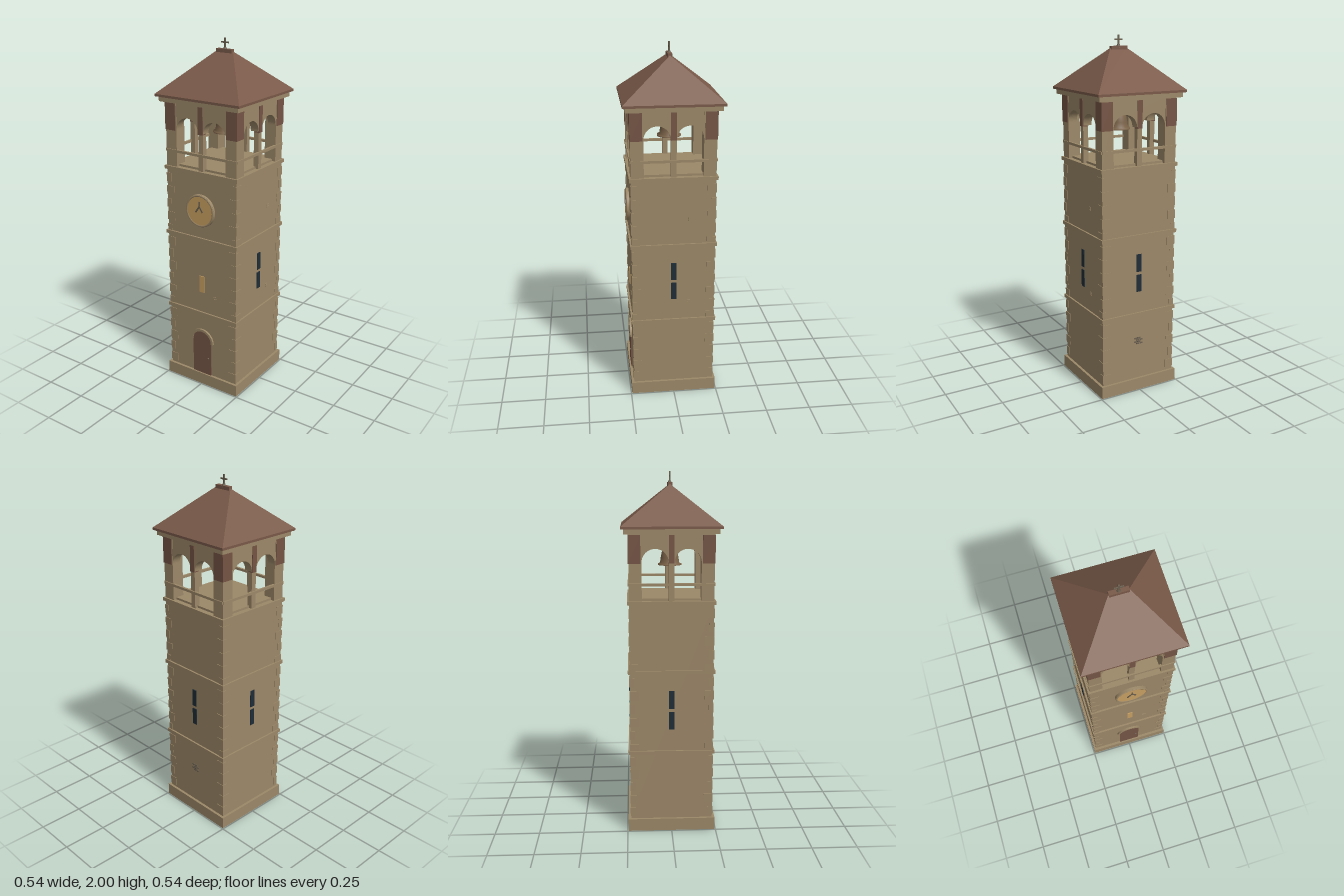
import * as THREE from 'three';

const mat = (name, color, side = THREE.FrontSide) => {
  const m = new THREE.MeshStandardMaterial({ color, side });
  m.name = name;
  return m;
};

export function createModel() {
  const stone = mat('stone', 0x9c8868);
  const roofTile = mat('roof tile', 0x7a5a49, THREE.DoubleSide);
  const brown = mat('brown brick', 0x755545);
  const glass = mat('dark glass', 0x1f2d38);
  const gold = mat('warm gold', 0xc9a062);
  const bronze = mat('bronze', 0x7a6248, THREE.DoubleSide);
  const iron = mat('iron', 0x6b6050);
  const tower = new THREE.Group();
  tower.name = 'bellTower';

  const add = (parent, name, geo, material, x = 0, y = 0, z = 0) => {
    const m = new THREE.Mesh(geo, material);
    m.name = name;
    m.position.set(x, y, z);
    parent.add(m);
    return m;
  };
  // Box given by width, bottom, top and depth
  const block = (parent, name, material, w, y0, y1, d, x = 0, z = 0) =>
    add(parent, name, new THREE.BoxGeometry(w, y1 - y0, d), material, x, (y0 + y1) / 2, z);
  const extrude = (shape, depth) =>
    new THREE.ExtrudeGeometry(shape, { depth, bevelEnabled: false, curveSegments: 16 });

  // Plinth, shaft and string courses
  block(tower, 'plinth', stone, 0.49, 0, 0.07, 0.49);
  block(tower, 'shaft', stone, 0.46, 0.07, 1.31, 0.46);
  for (const y of [0.465, 0.925, 1.308]) block(tower, 'stringCourse', stone, 0.48, y - 0.01, y + 0.01, 0.48);

  // Corner quoins, alternating long and short
  for (const sx of [-1, 1]) for (const sz of [-1, 1]) {
    for (let i = 0; i < 16; i++) {
      const y = 0.085 + i * 0.076, long = i % 2 === 0;
      const w = long ? 0.05 : 0.03, d = long ? 0.03 : 0.05;
      block(tower, 'quoin', stone, w, y, y + 0.05, d, sx * (0.233 - w / 2), sz * (0.233 - d / 2));
    }
  }

  // Arched door with a raised surround
  const door = new THREE.Shape();
  door.moveTo(-0.063, 0.07);
  door.lineTo(0.063, 0.07);
  door.lineTo(0.063, 0.282);
  door.absarc(0, 0.282, 0.063, 0, Math.PI, false);
  add(tower, 'door', extrude(door, 0.008), brown, 0, 0, 0.229);
  const surround = new THREE.Shape();
  surround.absarc(0, 0.282, 0.079, 0, Math.PI, false);
  surround.absarc(0, 0.282, 0.065, Math.PI, 0, true);
  add(tower, 'doorArch', extrude(surround, 0.012), stone, 0, 0, 0.229);
  add(tower, 'doorHandle', new THREE.SphereGeometry(0.006, 10, 8), iron, 0.045, 0.18, 0.238);

  // Slit windows: one lit pane in front, two dark panes on the other sides
  block(tower, 'frontWindow', gold, 0.032, 0.6, 0.7, 0.008, 0, 0.23);
  for (let i = 1; i < 4; i++) {
    const side = new THREE.Group();
    side.name = 'sideWindows';
    side.rotation.y = i * Math.PI / 2;
    block(side, 'lowerWindow', glass, 0.03, 0.6, 0.7, 0.009, 0, 0.23);
    block(side, 'upperWindow', glass, 0.03, 0.718, 0.82, 0.009, 0, 0.23);
    tower.add(side);
  }

  // Small patches of weathered brick
  for (const dy of [-0.006, 0.006]) {
    block(tower, 'frontBrick', stone, 0.022, 0.578 + dy, 0.586 + dy, 0.006, 0.09, 0.23);
    for (const y of [0.578, 1.074]) block(tower, 'sideBrick', stone, 0.006, y + dy, y + dy + 0.008, 0.022, 0.23, -0.09);
  }
  for (let i = 0; i < 8; i++) {
    const y = 0.28 + Math.floor(i / 2) * 0.011;
    block(tower, 'backBrick', iron, 0.018, y, y + 0.008, 0.008, (i % 2 - 0.5) * 0.021 + (i % 4 > 1 ? 0.006 : -0.005), -0.23);
  }

  // Clock
  const rim = add(tower, 'clockRim', new THREE.CylinderGeometry(0.093, 0.093, 0.016, 40), stone, 0, 1.097, 0.236);
  rim.rotation.x = Math.PI / 2;
  const lip = add(tower, 'clockLip', new THREE.TorusGeometry(0.087, 0.006, 8, 40), stone, 0, 1.097, 0.243);
  lip.scale.z = 0.8;
  add(tower, 'clockFace', new THREE.CircleGeometry(0.082, 40), gold, 0, 1.097, 0.2455);
  const hand = (x0, y0, x1, y1) => {
    const h = add(tower, 'clockHand', new THREE.BoxGeometry(0.008, Math.hypot(x1 - x0, y1 - y0), 0.004),
      iron, (x0 + x1) / 2, (y0 + y1) / 2, 0.248);
    h.rotation.z = -Math.atan2(x1 - x0, y1 - y0);
  };
  hand(0, 1.115, 0, 1.152);
  hand(0, 1.125, -0.025, 1.088);
  hand(0, 1.125, 0.022, 1.092);

  // Belfry floor and corner piers with brown heads
  block(tower, 'belfryFloor', stone, 0.42, 1.31, 1.33, 0.42);
  for (const sx of [-1, 1]) for (const sz of [-1, 1]) {
    block(tower, 'cornerPier', stone, 0.07, 1.31, 1.68, 0.07, sx * 0.195, sz * 0.195);
    block(tower, 'pierHead', brown, 0.067, 1.52, 1.67, 0.067, sx * 0.1995, sz * 0.1995);
  }

  // Twin arches, mullion and rail on each side of the belfry
  const arches = new THREE.Shape();
  arches.moveTo(-0.162, 1.68);
  arches.lineTo(-0.162, 1.525);
  for (const x of [-0.088, 0.088]) {
    arches.lineTo(x - 0.072, 1.525);
    arches.absarc(x, 1.525, 0.072, Math.PI, 0, true);
  }
  arches.lineTo(0.162, 1.525);
  arches.lineTo(0.162, 1.68);
  const archGeo = extrude(arches, 0.05);
  for (let i = 0; i < 4; i++) {
    const side = new THREE.Group();
    side.name = 'belfrySide';
    side.rotation.y = i * Math.PI / 2;
    add(side, 'twinArch', archGeo, stone, 0, 0, 0.178);
    block(side, 'mullion', stone, 0.03, 1.31, 1.6, 0.03, 0, 0.213);
    block(side, 'mullionHead', brown, 0.031, 1.52, 1.67, 0.03, 0, 0.217);
    block(side, 'rail', stone, 0.46, 1.4, 1.414, 0.014, 0, 0.228);
    tower.add(side);
  }

  // Bell hung from a yoke
  const bellProfile = [[0.066, 1.49], [0.066, 1.498], [0.054, 1.502], [0.05, 1.53], [0.043, 1.565], [0.028, 1.588], [0, 1.595]]
    .map(([x, y]) => new THREE.Vector2(x, y));
  add(tower, 'bell', new THREE.LatheGeometry(bellProfile, 28), bronze);
  add(tower, 'clapper', new THREE.SphereGeometry(0.014, 12, 8), iron, 0, 1.5, 0);
  block(tower, 'bellYoke', bronze, 0.16, 1.585, 1.605, 0.025);
  block(tower, 'bellHanger', iron, 0.02, 1.6, 1.68, 0.02);

  // Cornice and hipped roof with a short ridge
  block(tower, 'cornice', stone, 0.51, 1.675, 1.703, 0.51);
  block(tower, 'eaves', roofTile, 0.54, 1.702, 1.715, 0.54);
  const e = 0.27, y0 = 1.715, r = 0.05, y1 = 1.932;
  const A = [-e, y0, e], B = [e, y0, e], C = [e, y0, -e], D = [-e, y0, -e], L = [-r, y1, 0], R = [r, y1, 0];
  const roof = new THREE.BufferGeometry();
  roof.setAttribute('position', new THREE.Float32BufferAttribute(
    [A, B, R, A, R, L, B, C, R, C, D, L, C, L, R, D, A, L].flat(), 3));
  roof.computeVertexNormals();
  add(tower, 'roof', roof, roofTile);
  block(tower, 'ridgeCap', roofTile, 0.1, 1.922, 1.942, 0.024);

  // Finial cross
  add(tower, 'crossBase', new THREE.CylinderGeometry(0.007, 0.013, 0.018, 12), iron, 0, 1.942, 0);
  block(tower, 'crossPost', iron, 0.008, 1.94, 2, 0.008);
  block(tower, 'crossBar', iron, 0.048, 1.972, 1.98, 0.006);
  return tower;
}
